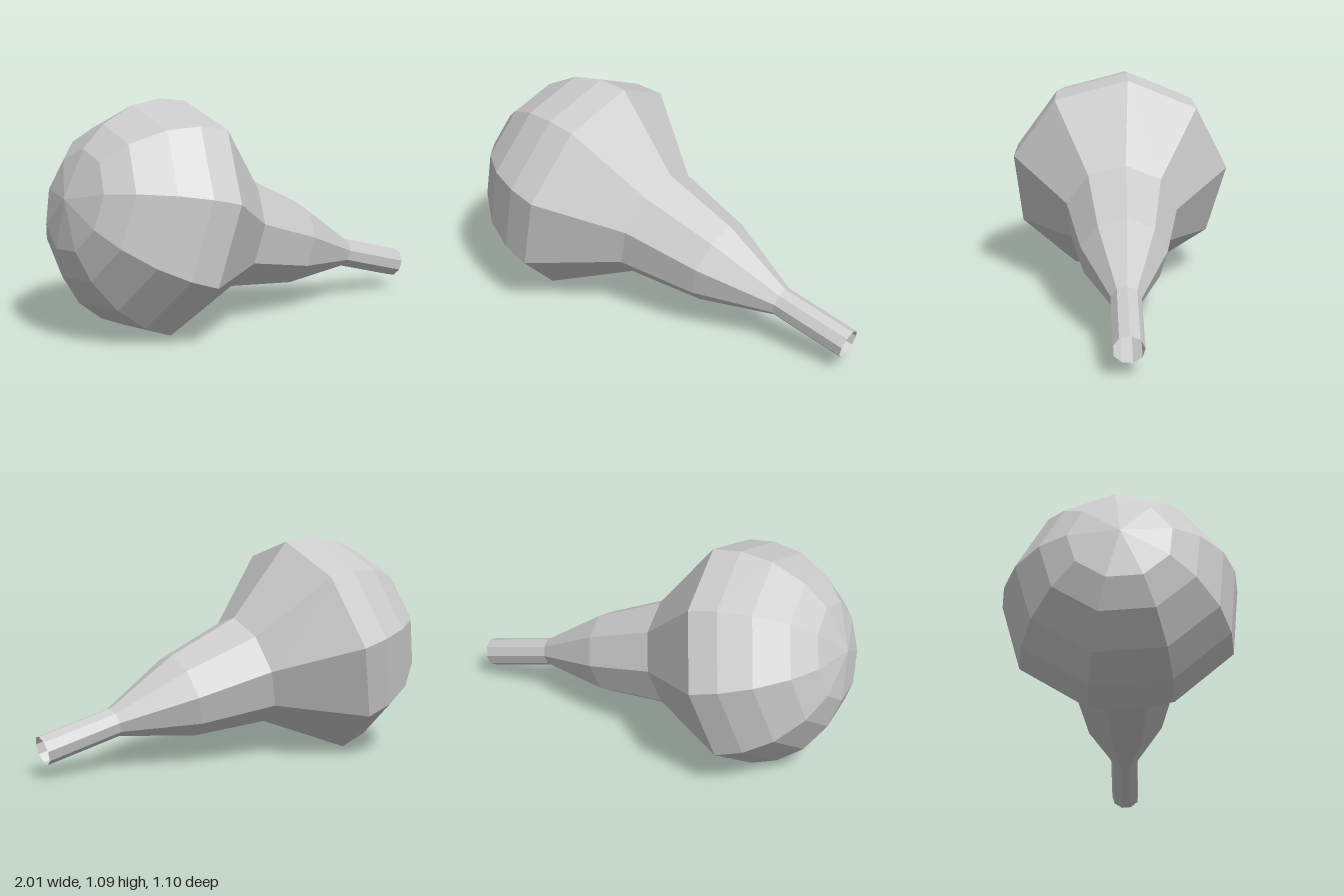
import * as THREE from 'three';

export function createModel() {
  const group = new THREE.Group();
  group.name = 'squeezeBulb';
  const material = new THREE.MeshStandardMaterial({
    color: 0xcccccc, flatShading: true, side: THREE.DoubleSide,
  });

  const SIDES = 9;
  const R = 0.567; // bulb radius

  // Tilted axis from the bulb's centre to the nozzle tip
  const centre = new THREE.Vector3(-0.444, 0.528, 0.011);
  const tip = new THREE.Vector3(0.974, 0.135, 0.41);
  const length = centre.distanceTo(tip);
  const axis = tip.clone().sub(centre).normalize();
  // Direction of the first corner of every ring, square to the axis
  const corner = new THREE.Vector3(0.154, 0.547, -0.001);
  corner.addScaledVector(axis, -corner.dot(axis)).normalize();
  const sideways = new THREE.Vector3().crossVectors(axis, corner);

  const body = new THREE.Group();
  body.name = 'tiltedBody';
  body.quaternion.setFromRotationMatrix(new THREE.Matrix4().makeBasis(sideways, axis, corner));
  body.position.copy(centre);
  group.add(body);

  function addLathe(name, points) {
    const geometry = new THREE.LatheGeometry(points, SIDES);
    const mesh = new THREE.Mesh(geometry, material);
    mesh.name = name;
    body.add(mesh);
  }

  // Rounded back of the bulb: rings on a hemisphere, closed at the pole
  addLathe('bulbDome', [90, 65, 49.5, 31, 14.5, 0].map((deg) => {
    const a = THREE.MathUtils.degToRad(deg);
    return new THREE.Vector2(deg === 90 ? 0 : R * Math.cos(a), -R * Math.sin(a));
  }));

  // Tapering neck
  addLathe('neck', [[R, 0], [0.282, 0.38], [0.213, 0.765], [0.073, 1.14]]
    .map(([r, y]) => new THREE.Vector2(r, y)));

  // Straight nozzle, open at the tip
  addLathe('nozzle', [[0.073, 1.14], [0.073, length]]
    .map(([r, y]) => new THREE.Vector2(r, y)));

  return group;
}
